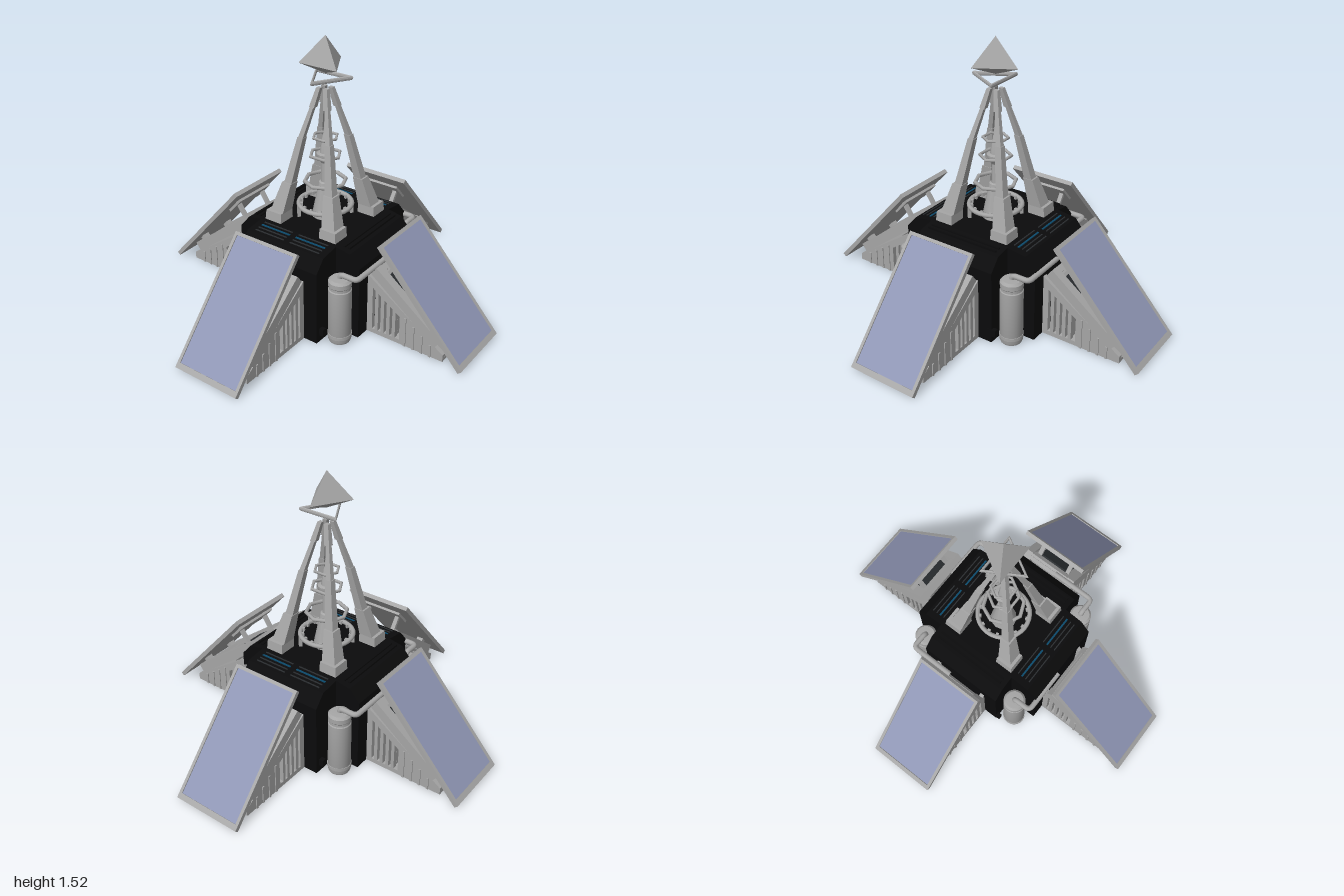
import * as THREE from 'three';
import { toCreasedNormals } from 'three/addons/utils/BufferGeometryUtils.js';

export function createModel() {
  const root = new THREE.Group();
  const mat = (name, color) => {
    const m = new THREE.MeshStandardMaterial({ color });
    m.name = name;
    return m;
  };
  const grey = mat('grey metal', 0xa6a6a6);
  const black = mat('black hull', 0x0b0b0c);
  const dark = mat('dark vents', 0x2b2e31);
  const blue = mat('solar cell blue', 0x8f96b5);
  const glow = mat('blue light strip', 0x0c4a6c);

  const add = (parent, name, geo, m, x = 0, y = 0, z = 0) => {
    const mesh = new THREE.Mesh(geo, m);
    mesh.name = name;
    mesh.position.set(x, y, z);
    parent.add(mesh);
    return mesh;
  };
  const box = (p, name, m, w, h, d, x, y, z) => add(p, name, new THREE.BoxGeometry(w, h, d), m, x, y, z);
  const shapeOf = pts => new THREE.Shape(pts.map(([x, y]) => new THREE.Vector2(x, y)));
  const extrude = (shape, depth) => {
    const g = new THREE.ExtrudeGeometry(shape, { depth, bevelEnabled: false });
    return g.translate(0, 0, -depth / 2);
  };
  // Leaning square post: centre and half width at both ends
  const post = (p, name, [x0, y0, z0, r0], [x1, y1, z1, r1]) => {
    const g = new THREE.BoxGeometry(2, 1, 2);
    const a = g.attributes.position;
    for (let i = 0; i < a.count; i++) {
      const top = a.getY(i) > 0;
      const r = top ? r1 : r0;
      a.setXYZ(i, (top ? x1 : x0) + a.getX(i) * r, top ? y1 : y0, (top ? z1 : z0) + a.getZ(i) * r);
    }
    g.computeVertexNormals();
    return add(p, name, g, grey);
  };

  // Cross-shaped hull made of two crossing chamfered blocks
  const hull = e => extrude(shapeOf([[-e, 0.01], [e, 0.01], [e, 0.43], [e - 0.06, 0.5], [0.25, 0.515],
    [-0.25, 0.515], [0.06 - e, 0.5], [-e, 0.43]]), 0.5);
  add(root, 'hullAcross', hull(0.395), black);
  add(root, 'hullAlong', hull(0.42), black).rotation.y = Math.PI / 2;

  // Roof vents and light strips, front and back
  for (const s of [-1, 1]) for (const side of [-1, 1]) {
    for (const z of [0.265, 0.29, 0.315, 0.34]) {
      const lit = z === 0.29;
      box(root, lit ? 'lightStrip' : 'roofVent', lit ? glow : dark, 0.19, 0.008, lit ? 0.01 : 0.006,
        side * 0.115, 0.515 - (z - 0.25) * 0.136, s * z);
    }
  }
  // Dark seams on the side roofs
  for (const s of [-1, 1]) for (const x of [0.28, 0.31]) {
    box(root, 'sideSeam', black, 0.012, 0.012, 0.44, s * x, 0.512, 0);
  }

  // Four arms: buttress, sloped cover and solar panel
  const slope = x => 0.05 + (0.855 - x) * 0.68;
  const buildArm = shift => {
    const arm = new THREE.Group();
    arm.name = 'arm';
    const a = new THREE.Group();
    a.name = 'armParts';
    a.position.x = shift;
    arm.add(a);

    const side = shapeOf([[0.395, 0.01], [0.855, 0.01], [0.855, 0.05], [0.395, slope(0.395)]]);
    for (const [l, r] of [[0.428, 0.444], [0.464, 0.482], [0.5, 0.518], [0.536, 0.552], [0.57, 0.596]]) {
      side.holes.push(new THREE.Path([[l, 0.035], [l, slope(l) - 0.05], [r, slope(r) - 0.05], [r, 0.035]]
        .map(([x, y]) => new THREE.Vector2(x, y))));
    }
    for (const s of [-1, 1]) {
      add(a, 'buttressSide', extrude(side, 0.025), grey, 0, 0, s * 0.155);
      for (const x of [0.63, 0.68, 0.73, 0.78]) {
        const h = slope(x) - 0.03;
        box(a, 'buttressRib', grey, 0.012, h, 0.008, x, 0.01 + h / 2, s * 0.169);
      }
    }
    box(a, 'buttressFloor', grey, 0.46, 0.02, 0.29, 0.625, 0.02, 0);
    const core = (l, r) => add(a, 'buttressCore', extrude(shapeOf([[l, 0.02], [r, 0.02],
      [r, slope(r) - 0.01], [l, slope(l) - 0.01]]), 0.25), grey);
    core(0.452, 0.56);
    core(0.605, 0.85);

    // Sloped cover with raised rails and a central hatch
    const cover = new THREE.Group();
    cover.name = 'slopedCover';
    cover.position.set(0.627, 0.25, 0);
    cover.rotation.z = -0.65;
    a.add(cover);
    box(cover, 'coverPlate', grey, 0.49, 0.025, 0.33, 0, -0.008, 0);
    for (const s of [-1, 1]) box(cover, 'coverRail', grey, 0.49, 0.055, 0.045, 0, 0, s * 0.15);
    for (const x of [-0.225, 0, 0.225]) box(cover, 'coverBar', grey, 0.035, 0.045, 0.28, x, 0, 0);
    box(cover, 'coverHatch', dark, 0.12, 0.012, 0.2, -0.12, 0.01, 0);

    // Brackets carrying the panel
    for (const s of [-1, 1]) {
      const top = box(a, 'bracketStrut', grey, 0.018, 0.12, 0.025, 0.522, 0.425, s * 0.1);
      top.rotation.z = -0.6;
      const low = box(a, 'lowerHinge', grey, 0.035, 0.06, 0.04, 0.822, 0.13, s * 0.1);
      low.rotation.z = -0.75;
    }
    box(a, 'bracketPlate', grey, 0.125, 0.014, 0.26, 0.548, 0.449, 0).rotation.z = -0.84;

    // Solar panel with a raised frame
    const panel = new THREE.Group();
    panel.name = 'solarPanel';
    panel.position.set(0.721, 0.291, 0);
    panel.rotation.z = -0.842;
    a.add(panel);
    box(panel, 'panelBack', grey, 0.745, 0.014, 0.4, 0, -0.004, 0);
    box(panel, 'solarCells', blue, 0.71, 0.006, 0.37, -0.005, 0.005, 0);
    for (const s of [-1, 1]) box(panel, 'frameSide', grey, 0.745, 0.02, 0.017, 0, 0.003, s * 0.1915);
    box(panel, 'frameTop', grey, 0.018, 0.02, 0.4, -0.3635, 0.003, 0);
    box(panel, 'frameBottom', grey, 0.03, 0.02, 0.4, 0.3575, 0.003, 0);
    return arm;
  };

  // Corner tank with bands, a bent pipe and a small clamp
  const buildTank = () => {
    const t = new THREE.Group();
    t.name = 'cornerTank';
    const X = -0.315, Z = 0.322;
    const profile = [[0, 0.01], [0.056, 0.01], [0.062, 0.025], [0.062, 0.325], [0.058, 0.33], [0.058, 0.345],
      [0.062, 0.35], [0.062, 0.375], [0.05, 0.388], [0, 0.392]].map(([x, y]) => new THREE.Vector2(x, y));
    add(t, 'tank', toCreasedNormals(new THREE.LatheGeometry(profile, 24), 0.5), grey, X, 0, Z);
    add(t, 'tankBand', new THREE.CylinderGeometry(0.065, 0.065, 0.018, 24), grey, X, 0.05, Z);
    const path = new THREE.CurvePath();
    const v = (x, y, z) => new THREE.Vector3(x, y, z);
    path.add(new THREE.LineCurve3(v(X, 0.37, Z), v(X, 0.385, Z)));
    path.add(new THREE.QuadraticBezierCurve3(v(X, 0.385, Z), v(X, 0.41, Z), v(X, 0.41, Z + 0.025)));
    path.add(new THREE.LineCurve3(v(X, 0.41, Z + 0.025), v(X, 0.41, 0.4)));
    path.add(new THREE.QuadraticBezierCurve3(v(X, 0.41, 0.4), v(X, 0.41, 0.425), v(X + 0.03, 0.41, 0.425)));
    path.add(new THREE.LineCurve3(v(X + 0.03, 0.41, 0.425), v(-0.05, 0.41, 0.425)));
    add(t, 'pipe', new THREE.TubeGeometry(path, 48, 0.015, 10), grey);
    box(t, 'tankClamp', black, 0.025, 0.04, 0.05, -0.385, 0.07, 0.25);
    return t;
  };

  for (let k = 0; k < 4; k++) {
    const arm = buildArm(k % 2 ? 0.025 : 0);
    const tank = buildTank();
    arm.rotation.y = tank.rotation.y = k * Math.PI / 2;
    root.add(arm, tank);
  }

  // Four-legged tapering mast
  const mast = new THREE.Group();
  mast.name = 'mast';
  root.add(mast);
  for (const sx of [-1, 1]) for (const sz of [-1, 1]) {
    const leg = (name, c0, y0, r0, c1, y1, r1) =>
      post(mast, name, [sx * c0, y0, sz * c0, r0], [sx * c1, y1, sz * c1, r1]);
    leg('legFoot', 0.18, 0.505, 0.053, 0.178, 0.57, 0.05);
    leg('lowerLeg', 0.17, 0.565, 0.042, 0.136, 0.73, 0.03);
    leg('middleLeg', 0.134, 0.725, 0.024, 0.087, 0.985, 0.018);
    leg('upperLeg', 0.088, 0.98, 0.015, 0.044, 1.16, 0.011);
    leg('legTip', 0.045, 1.15, 0.016, 0.022, 1.255, 0.012);
  }

  // Rings around the spire
  const ring = (name, r, tube, y, sides) =>
    add(mast, name, new THREE.TorusGeometry(r, tube, 8, sides).rotateX(Math.PI / 2), grey, 0, y, 0);
  ring('baseRing', 0.145, 0.013, 0.588, 32);
  ring('lowerRing', 0.112, 0.011, 0.725, 8);
  ring('middleRing', 0.085, 0.009, 0.878, 6);
  ring('upperRing', 0.068, 0.008, 0.98, 6);
  for (let i = 0; i < 16; i++) {
    const a = i * Math.PI / 8;
    box(mast, 'ringTooth', grey, 0.022, 0.02, 0.016, Math.cos(a) * 0.135, 0.588, Math.sin(a) * 0.135).rotation.y = -a;
  }
  for (let i = 0; i < 4; i++) {
    const a = i * Math.PI / 2 + Math.PI / 4;
    box(mast, 'ringPost', grey, 0.018, 0.08, 0.018, Math.cos(a) * 0.145, 0.55, Math.sin(a) * 0.145).rotation.y = -a;
  }

  // Central spire
  const spire = [[0.075, 0.51], [0.06, 0.585], [0.035, 0.715], [0.024, 0.72], [0.022, 0.83], [0.048, 0.868],
    [0.048, 0.885], [0.03, 0.89], [0.016, 0.985], [0.01, 1.0], [0, 1.15]].map(([x, y]) => new THREE.Vector2(x, y));
  add(mast, 'spire', toCreasedNormals(new THREE.LatheGeometry(spire, 12), 0.6), grey);

  // Floating three-sided crystal over a triangular ring
  const cone = (h, flip) => {
    const g = new THREE.ConeGeometry(0.137, h, 3, 1, true).toNonIndexed();
    if (flip) g.rotateZ(Math.PI);
    g.rotateY(Math.PI);
    g.computeVertexNormals();
    return g;
  };
  add(root, 'crystalTop', cone(0.15, false), grey, 0, 1.455, 0);
  add(root, 'crystalBottom', cone(0.05, true), grey, 0, 1.355, 0);
  const tri = new THREE.TorusGeometry(0.125, 0.012, 8, 3).toNonIndexed();
  tri.rotateZ(-Math.PI / 2).rotateX(-Math.PI / 2);
  tri.computeVertexNormals();
  add(root, 'triangleRing', tri, grey, 0.01, 1.312, 0.005);

  return root;
}
